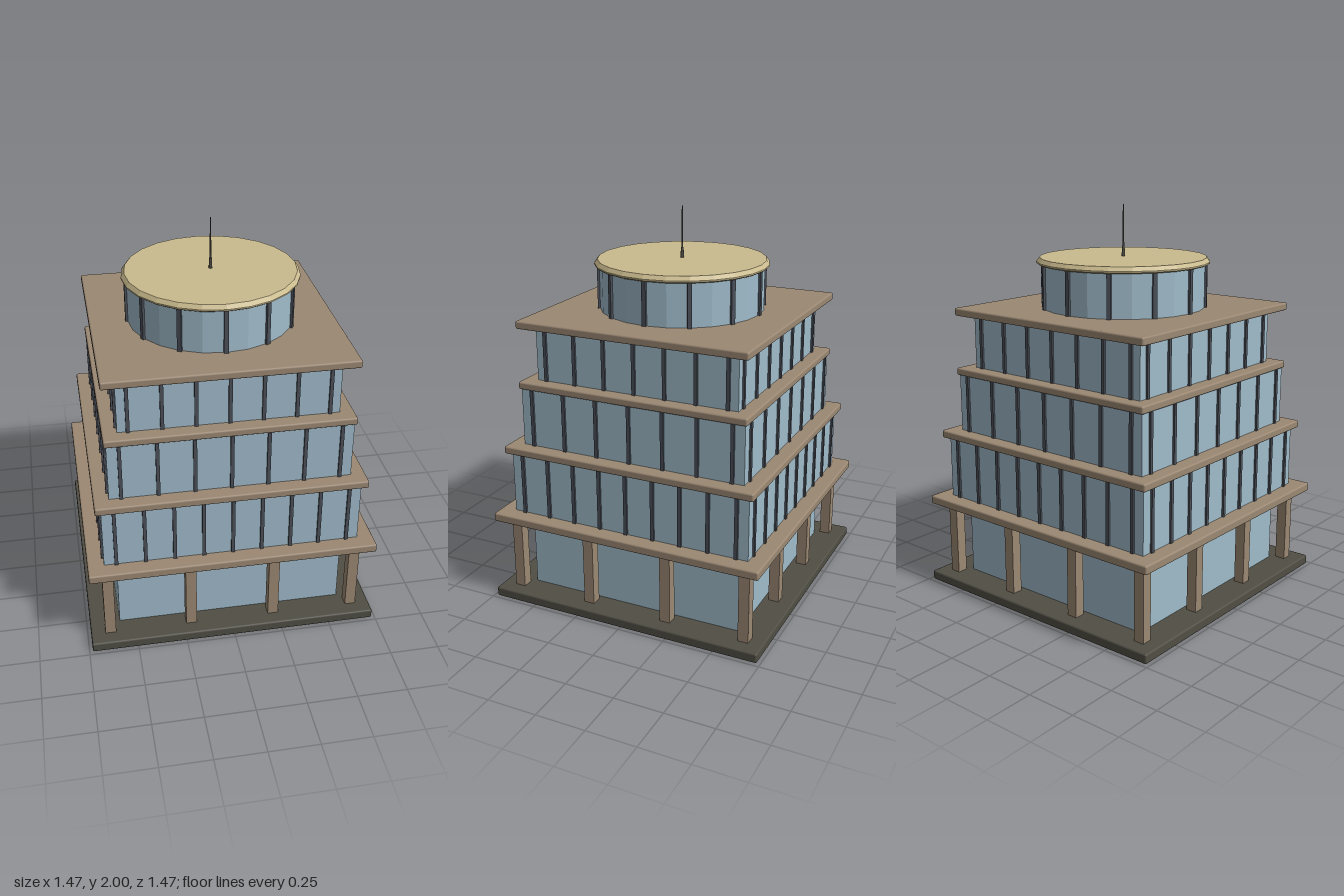
import * as THREE from 'three';
import { RoundedBoxGeometry } from 'three/addons/geometries/RoundedBoxGeometry.js';

const material = (name, color, flatShading = false) => {
  const m = new THREE.MeshStandardMaterial({ color });
  m.name = name;
  m.flatShading = flatShading;
  return m;
};

export function createModel() {
  const model = new THREE.Group();
  model.name = 'tieredTower';

  const stone = material('tan stone', 0x9b8873);
  const glass = material('blue glass', 0xa0bccb, true);
  const frame = material('dark frame', 0x4b5059);
  const plinth = material('dark plinth', 0x504e44);
  const gold = material('pale gold', 0xcabb8e, true);
  const soffitRed = material('dark red soffit', 0x4f1f18);

  const add = (name, geometry, mat, x, y, z, parent = model) => {
    const mesh = new THREE.Mesh(geometry, mat);
    mesh.name = name;
    mesh.position.set(x, y, z);
    parent.add(mesh);
    return mesh;
  };
  // Square block given by its half width and its bottom and top heights
  const block = (name, half, y0, y1, mat) =>
    add(name, new THREE.BoxGeometry(half * 2, y1 - y0, half * 2), mat, 0, (y0 + y1) / 2, 0);
  const slab = (name, half, y0, y1, mat) =>
    add(name, new RoundedBoxGeometry(half * 2, y1 - y0, half * 2, 2, 0.009), mat, 0, (y0 + y1) / 2, 0);

  // Ground floor: plinth, recessed lobby, colonnade and ceiling
  slab('plinth', 0.733, 0, 0.05, plinth);
  block('lobbyGlass', 0.58, 0.05, 0.415, glass);
  block('soffit', 0.69, 0.43, 0.436, soffitRed);
  const columnGeometry = new THREE.BoxGeometry(0.055, 0.385, 0.055);
  const stops = [-0.633, -0.215, 0.215, 0.633];
  for (const x of stops) {
    for (const z of stops) {
      if (Math.max(Math.abs(x), Math.abs(z)) > 0.5) {
        add('column', columnGeometry, stone, x, 0.2425, z);
      }
    }
  }
  slab('groundFloorSlab', 0.727, 0.435, 0.48, stone);

  // Three glazed storeys, each with mullions on all sides and a slab above
  const tiers = [
    { half: 0.645, y0: 0.48, y1: 0.8, top: 0.84, slabHalf: 0.675, count: 9, gap: 0.146 },
    { half: 0.6, y0: 0.84, y1: 1.135, top: 1.173, slabHalf: 0.612, count: 7, gap: 0.18 },
    { half: 0.54, y0: 1.173, y1: 1.445, top: 1.485, slabHalf: 0.612, count: 7, gap: 0.163 },
  ];
  tiers.forEach((t, level) => {
    block(`storeyGlass${level + 1}`, t.half, t.y0, t.y1, glass);
    slab(`storeySlab${level + 1}`, t.slabHalf, t.y1, t.top, stone);
    const bar = new THREE.BoxGeometry(0.018, t.y1 - t.y0, 0.02);
    for (let side = 0; side < 4; side++) {
      const mullions = new THREE.Group();
      mullions.name = 'storeyMullions';
      mullions.rotation.y = side * Math.PI / 2;
      for (let i = 0; i < t.count; i++) {
        const x = (i - (t.count - 1) / 2) * t.gap;
        add('mullion', bar, frame, x, (t.y0 + t.y1) / 2, t.half, mullions);
      }
      model.add(mullions);
    }
  });

  // Round penthouse
  add('penthouseGlass', new THREE.CylinderGeometry(0.42, 0.42, 0.22, 24), glass, 0, 1.595, 0);
  const postGeometry = new THREE.BoxGeometry(0.022, 0.22, 0.022);
  for (let i = 0; i < 12; i++) {
    const a = i * Math.PI / 6;
    const post = add('penthouseMullion', postGeometry, frame, Math.sin(a) * 0.42, 1.595, Math.cos(a) * 0.42);
    post.rotation.y = a;
  }

  // Roof disc with a bevelled rim
  const roofProfile = [[0, 1.705], [0.436, 1.705], [0.444, 1.711], [0.444, 1.718], [0.428, 1.738], [0, 1.738]]
    .map(([r, y]) => new THREE.Vector2(r, y));
  add('roofDisc', new THREE.LatheGeometry(roofProfile, 24), gold, 0, 0, 0);

  // Antenna
  add('antennaBase', new THREE.CylinderGeometry(0.007, 0.009, 0.052, 10), plinth, 0, 1.764, 0);
  add('antennaMast', new THREE.CylinderGeometry(0.0025, 0.005, 0.21, 8), plinth, 0, 1.895, 0);

  return model;
}
